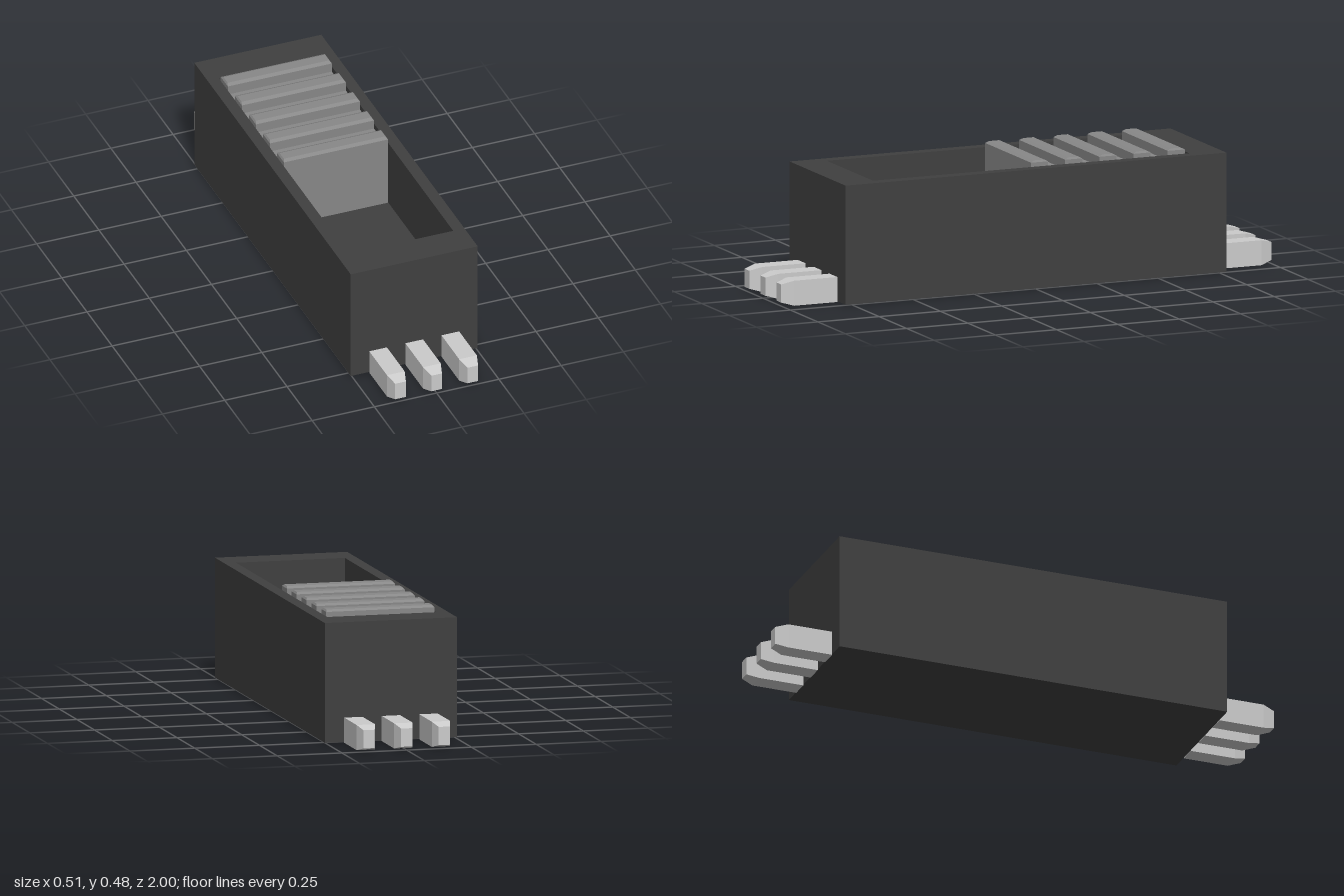
import * as THREE from 'three';

const material = (color) => new THREE.MeshStandardMaterial({ color, flatShading: true });

// Box standing on y = 0 whose last stretch narrows towards the top
function taperedBox(w, h, d, taper, insetX, insetZ) {
  const g = new THREE.BoxGeometry(w, h, d, 1, 2, 1);
  g.translate(0, h / 2, 0);
  const p = g.attributes.position;
  for (let i = 0; i < p.count; i++) {
    const y = p.getY(i);
    if (y > h * 0.75) {
      p.setX(i, p.getX(i) - Math.sign(p.getX(i)) * insetX);
      p.setZ(i, p.getZ(i) - Math.sign(p.getZ(i)) * insetZ);
    } else if (y > h * 0.25) {
      p.setY(i, h - taper);
    }
  }
  const flat = g.toNonIndexed();
  flat.computeVertexNormals();
  return flat;
}

function rectangle(path, x, y) {
  path.moveTo(-x, -y);
  path.lineTo(x, -y);
  path.lineTo(x, y);
  path.lineTo(-x, y);
  path.closePath();
  return path;
}

export function createModel() {
  const model = new THREE.Group();
  const bodyMat = material(0x404040);
  const sliderMat = material(0x888888);
  const pinMat = material(0xcccccc);

  const add = (parent, name, geometry, mat, x = 0, y = 0, z = 0) => {
    const mesh = new THREE.Mesh(geometry, mat);
    mesh.name = name;
    mesh.position.set(x, y, z);
    parent.add(mesh);
    return mesh;
  };

  // Housing: rectangular walls around an open slot, with a raised floor inside
  const bottom = 0.003, top = 0.455, floorY = 0.19;
  const housing = new THREE.Group();
  housing.name = 'housing';
  const outline = rectangle(new THREE.Shape(), 0.255, 0.777);
  outline.holes.push(rectangle(new THREE.Path(), 0.21, 0.645));
  const walls = new THREE.ExtrudeGeometry(outline, { depth: top - bottom, bevelEnabled: false });
  walls.rotateX(-Math.PI / 2);
  add(housing, 'walls', walls, bodyMat, 0, bottom, 0);
  add(housing, 'slotFloor', new THREE.BoxGeometry(0.42, floorY - bottom, 1.29), bodyMat,
    0, (floorY + bottom) / 2, 0);
  model.add(housing);

  // Slider: block at the back half of the slot with five grip ribs
  const slider = new THREE.Group();
  slider.name = 'slider';
  const sliderTop = 0.435, length = 0.628;
  add(slider, 'sliderBlock', new THREE.BoxGeometry(0.418, sliderTop - floorY, length), sliderMat,
    0, (sliderTop + floorY) / 2, -length / 2);
  for (let i = 0; i < 5; i++) {
    add(slider, 'gripRib', taperedBox(0.418, 0.478 - sliderTop, 0.07, 0.007, 0.005, 0.014), sliderMat,
      0, sliderTop, -0.035 - i * 0.1395);
  }
  model.add(slider);

  // Pins: three at each end, with tapered tips
  for (const end of [1, -1]) {
    for (const x of [-0.145, 0, 0.145]) {
      const pin = taperedBox(0.071, 0.223, 0.095, 0.047, 0.014, 0.013);
      pin.rotateX(end * Math.PI / 2);
      add(model, end > 0 ? 'frontPin' : 'backPin', pin, pinMat, x, 0.0475, end * 0.777);
    }
  }
  return model;
}
